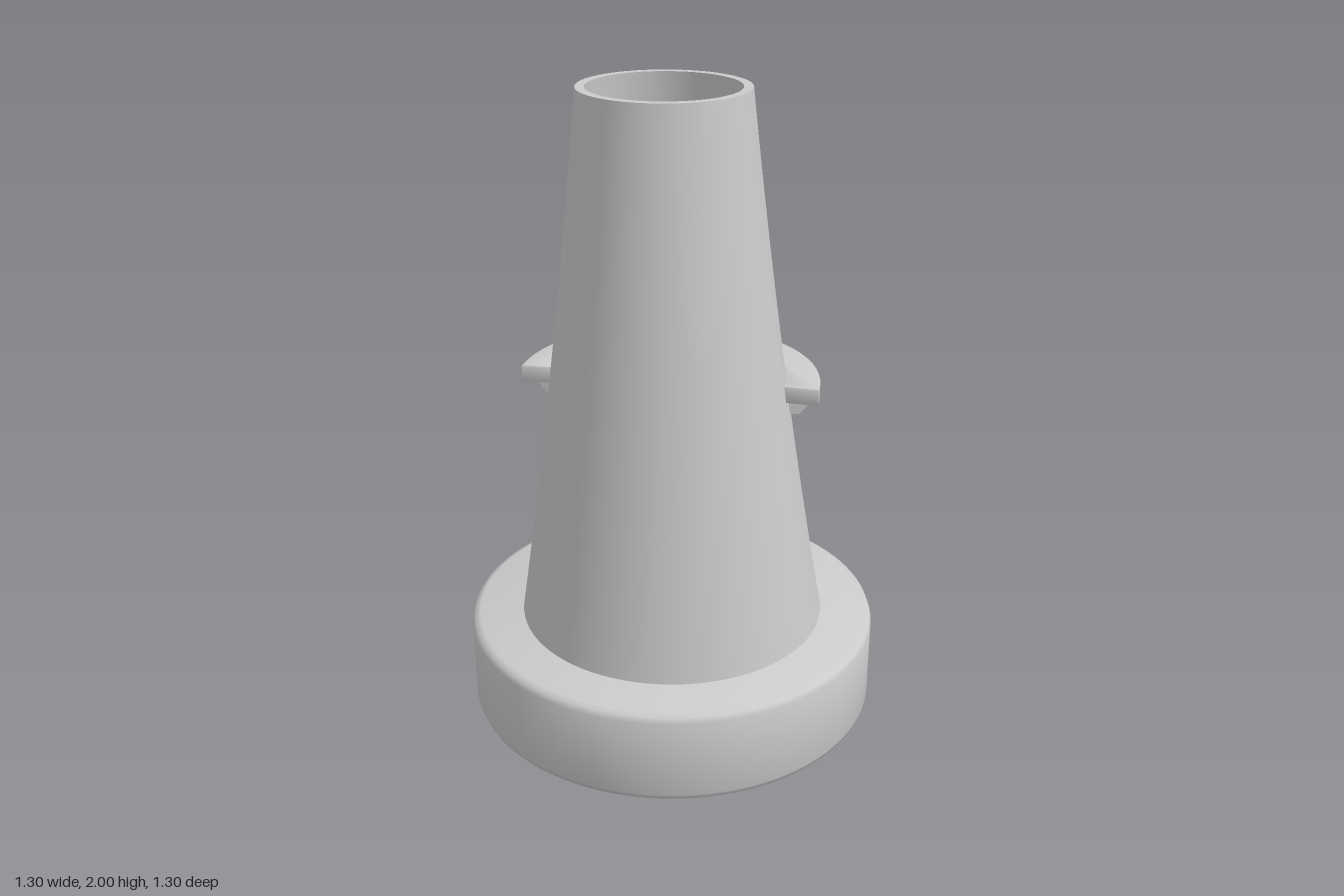
import * as THREE from 'three';
import { mergeVertices, toCreasedNormals } from 'three/addons/utils/BufferGeometryUtils.js';
import { RoundedBoxGeometry } from 'three/addons/geometries/RoundedBoxGeometry.js';

const material = new THREE.MeshStandardMaterial({ color: 0xcccccc });
const openMaterial = new THREE.MeshStandardMaterial({ color: 0xcccccc, side: THREE.DoubleSide });

const FLOOR = 0.3, TOP = 2, WALL = 0.027;
const DOOR_SPRING = 0.53, DOOR_HALF = 0.21;

// Leaning, tapering tower: radius and centre z at a height
const radiusAt = (y) => {
  const t = (y - FLOOR) / (TOP - FLOOR);
  return 0.485 - 0.29 * t + 0.053 * t * t;
};
const centreAt = (y) => {
  const t = (y - FLOOR) / (TOP - FLOOR);
  return 0.13 * t - 0.03 * t * t;
};

// Half width of the arched doorway at a height
function doorHalfWidth(y) {
  if (y <= DOOR_SPRING) return DOOR_HALF;
  return Math.sqrt(Math.max(0, DOOR_HALF ** 2 - (y - DOOR_SPRING) ** 2));
}

// One skin of the tower: rings that stop at the sides of the doorway
function wallGeometry(inset, inward) {
  const heights = [];
  for (let i = 0; i < 6; i++) heights.push(FLOOR + (DOOR_SPRING - FLOOR) * i / 6);
  for (let i = 0; i <= 12; i++) heights.push(DOOR_SPRING + DOOR_HALF * Math.sin(Math.PI / 2 * i / 12));
  const doorTop = DOOR_SPRING + DOOR_HALF;
  for (let i = 1; i <= 20; i++) heights.push(doorTop + (TOP - doorTop) * i / 20);

  const columns = 72, positions = [], index = [];
  heights.forEach((y, row) => {
    const r = radiusAt(y) - inset;
    const jamb = Math.asin(doorHalfWidth(y) / r);
    for (let j = 0; j <= columns; j++) {
      const a = jamb + (2 * Math.PI - 2 * jamb) * j / columns;
      positions.push(r * Math.sin(a), y, centreAt(y) - r * Math.cos(a));
      if (row === 0 || j === columns) continue;
      const d = row * (columns + 1) + j, b = d - columns - 1;
      if (inward) index.push(b, b + 1, d, b + 1, d + 1, d);
      else index.push(b, d, b + 1, b + 1, d, d + 1);
    }
  });
  let g = new THREE.BufferGeometry();
  g.setAttribute('position', new THREE.Float32BufferAttribute(positions, 3));
  g.setIndex(index);
  g = mergeVertices(g);
  g.computeVertexNormals();
  return g;
}

function extrude(shape, depth, bevel) {
  const g = new THREE.ExtrudeGeometry(shape, {
    depth: depth - 2 * bevel, bevelEnabled: bevel > 0, bevelThickness: bevel,
    bevelSize: bevel, bevelOffset: -bevel, bevelSegments: 2, curveSegments: 40,
  });
  g.translate(0, 0, bevel);
  return toCreasedNormals(g, 0.6);
}

export function createModel() {
  const model = new THREE.Group();
  const add = (name, geometry, parent = model, mat = material) => {
    const mesh = new THREE.Mesh(geometry, mat);
    mesh.name = name;
    parent.add(mesh);
    return mesh;
  };

  // Round plinth with softened edges
  const R = 0.65, b = 0.025;
  const profile = [[0, 0], [R - b, 0], [R - 0.007, 0.007], [R, b],
    [R, FLOOR - b], [R - 0.007, FLOOR - 0.007], [R - b, FLOOR], [0, FLOOR]]
    .map(([x, y]) => new THREE.Vector2(x, y));
  add('base', toCreasedNormals(new THREE.LatheGeometry(profile, 96), 0.9));

  // Hollow tower
  const tower = new THREE.Group();
  tower.name = 'tower';
  model.add(tower);
  add('outerWall', wallGeometry(0, false), tower, openMaterial);
  add('innerWall', wallGeometry(WALL, true), tower, openMaterial);
  const rim = add('rim', new THREE.RingGeometry(radiusAt(TOP) - WALL, radiusAt(TOP), 72), tower, openMaterial);
  rim.rotation.x = -Math.PI / 2;
  rim.position.set(0, TOP, centreAt(TOP));

  // Arched door frame with a keystone at the back
  const doorway = new THREE.Group();
  doorway.name = 'doorway';
  model.add(doorway);
  const outer = 0.248, inner = 0.178, foot = FLOOR - 0.015;
  const arch = new THREE.Shape();
  arch.moveTo(outer, foot);
  arch.lineTo(outer, DOOR_SPRING);
  arch.absarc(0, DOOR_SPRING, outer, 0, Math.PI, false);
  arch.lineTo(-outer, foot);
  arch.lineTo(-inner, foot);
  arch.lineTo(-inner, DOOR_SPRING);
  arch.absarc(0, DOOR_SPRING, inner, Math.PI, 0, true);
  arch.lineTo(inner, foot);
  add('doorFrame', extrude(arch, 0.125, 0.012), doorway).position.z = -0.445;
  add('keystone', new RoundedBoxGeometry(0.085, 0.115, 0.1, 2, 0.01), doorway)
    .position.set(0, 0.735, -0.418);

  // Half-ring balcony carried on small brackets
  const balcony = new THREE.Group();
  balcony.name = 'balcony';
  balcony.position.z = 0.055;
  model.add(balcony);
  const ring = new THREE.Shape();
  ring.absarc(0, 0, 0.46, -0.035, Math.PI + 0.035, false);
  ring.absarc(0, 0, 0.345, Math.PI + 0.035, -0.035, true);
  const deck = add('balconyDeck', extrude(ring, 0.055, 0.006), balcony);
  deck.rotation.x = -Math.PI / 2;
  deck.position.y = 1.065;

  const side = new THREE.Shape([[0.34, 1.015], [0.4, 1.015], [0.445, 1.07], [0.34, 1.07]]
    .map(([x, y]) => new THREE.Vector2(x, y)));
  const bracket = extrude(side, 0.028, 0);
  bracket.translate(0, 0, -0.014);
  for (let i = -3; i <= 3; i++) {
    add('balconyBracket', bracket, balcony).rotation.y = Math.PI / 2 + i * 0.485;
  }
  return model;
}
